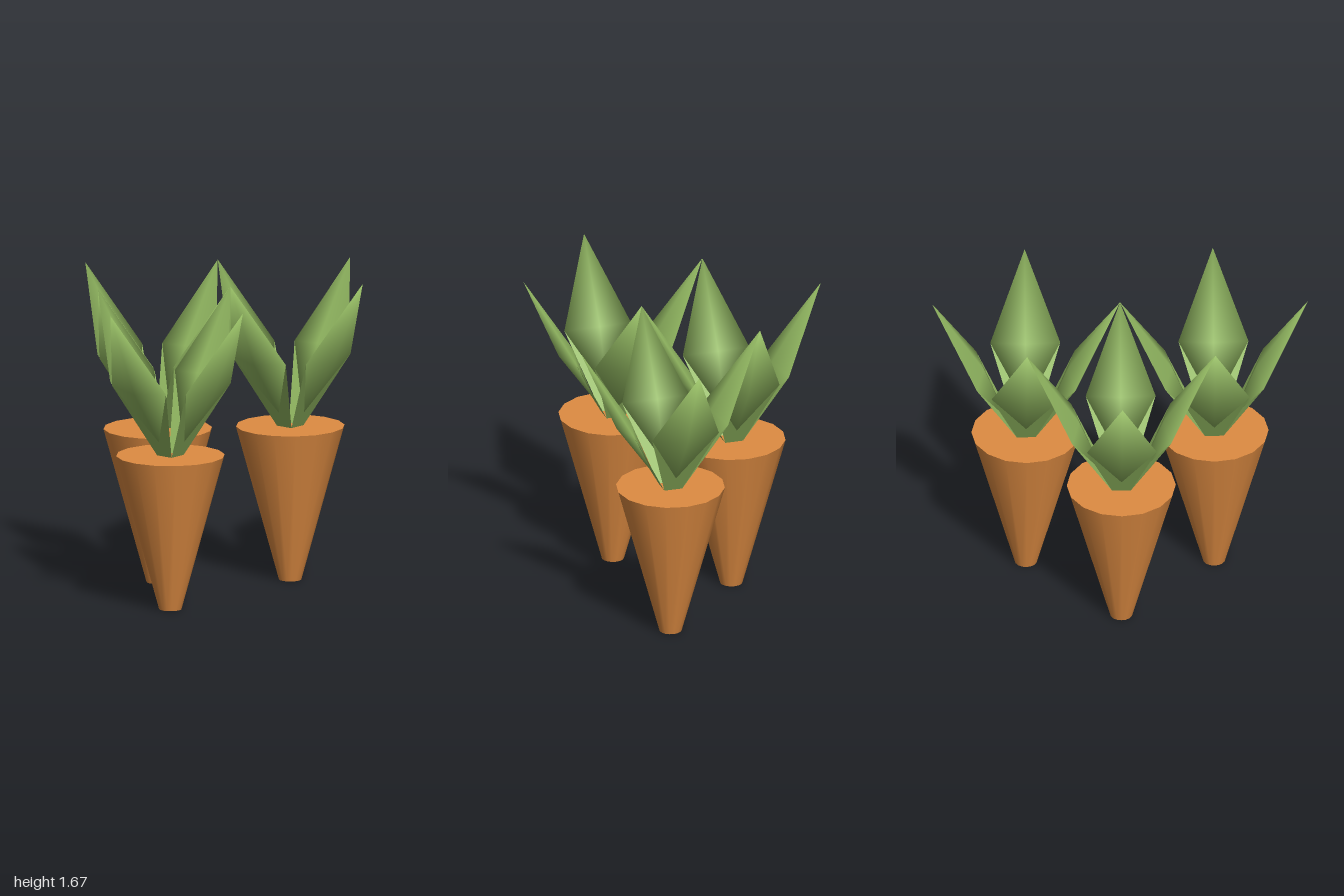
import * as THREE from 'three';

const rootOrange = new THREE.MeshStandardMaterial({ color: 0xdf8c42 });
rootOrange.name = 'rootOrange';
const leafGreen = new THREE.MeshStandardMaterial({ color: 0x96bd64, side: THREE.DoubleSide });
leafGreen.name = 'leafGreen';

const ROOT_HEIGHT = 0.835;

function indexed(points, faces) {
  const g = new THREE.BufferGeometry();
  g.setAttribute('position', new THREE.Float32BufferAttribute(points.flat(), 3));
  g.setIndex(faces.flat());
  g.computeVertexNormals();
  return g;
}

// Swollen diamond blade leaning outward along +z
function bladeGeometry() {
  const points = [
    [0, 1.67, 0.5],       // 0 tip
    [-0.186, 1.23, 0.262], // 1 right corner
    [0.186, 1.23, 0.262],  // 2 left corner
    [0, 0.92, 0.096],     // 3 lower point
    [0, 1.21, 0.302],     // 4 outer bulge
    [0, 1.245, 0.225],    // 5 inner bulge
  ];
  const rim = [0, 1, 3, 2];
  const faces = [];
  rim.forEach((a, i) => {
    const b = rim[(i + 1) % 4];
    faces.push([a, b, 4], [b, a, 5]);
  });
  return indexed(points, faces);
}

// Flat stalk narrowing from the blade's corners to the root
function stalkGeometry() {
  return indexed(
    [[-0.186, 1.23, 0.262], [-0.05, ROOT_HEIGHT, 0.05], [0.05, ROOT_HEIGHT, 0.05], [0.186, 1.23, 0.262]],
    [[0, 1, 2], [0, 2, 3]],
  );
}

export function createModel() {
  const model = new THREE.Group();
  model.name = 'carrots';

  const rootGeo = new THREE.CylinderGeometry(0.29, 0.06, ROOT_HEIGHT, 16);
  rootGeo.translate(0, ROOT_HEIGHT / 2, 0);
  const bladeGeo = bladeGeometry();
  const stalkGeo = stalkGeometry();

  for (const [x, z] of [[-0.5, 0.25], [0.5, 0.25], [0, -0.25]]) {
    const carrot = new THREE.Group();
    carrot.name = 'carrot';
    carrot.position.set(x, 0, z);

    const root = new THREE.Mesh(rootGeo, rootOrange);
    root.name = 'root';
    carrot.add(root);

    // Four leaves, a quarter turn apart
    for (let i = 0; i < 4; i++) {
      const leaf = new THREE.Group();
      leaf.name = 'leaf';
      leaf.rotation.y = i * Math.PI / 2;
      const blade = new THREE.Mesh(bladeGeo, leafGreen);
      blade.name = 'leafBlade';
      const stalk = new THREE.Mesh(stalkGeo, leafGreen);
      stalk.name = 'leafStalk';
      leaf.add(blade, stalk);
      carrot.add(leaf);
    }
    model.add(carrot);
  }
  return model;
}
